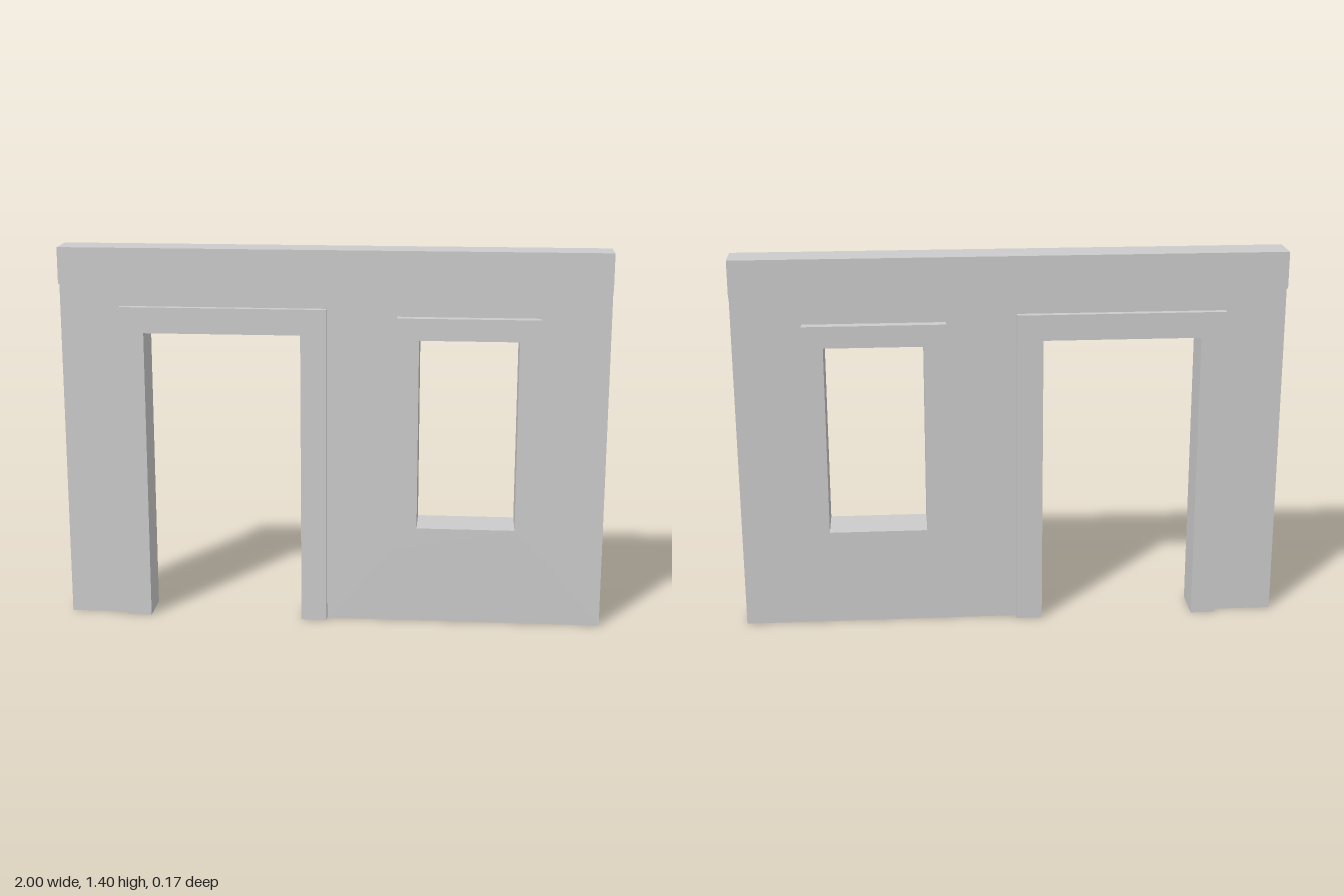
import * as THREE from 'three';

const material = new THREE.MeshStandardMaterial({ color: 0xcccccc, flatShading: true });

// Key outlines as [left, bottom, right, top]
const doorOuter = [-0.78, 0, -0.02, 1.185];
const doorInner = [-0.69, 0, -0.115, 1.09];
const windowOuter = [0.235, 0.29, 0.75, 1.16];
const windowInner = [0.315, 0.375, 0.675, 1.08];
const beamBottom = 1.265;

const polygon = (points) => new THREE.Shape(points.map(([x, y]) => new THREE.Vector2(x, y)));

const rectangle = ([l, b, r, t]) => polygon([[l, b], [r, b], [r, t], [l, t]]);

// Rectangle with a notch rising from its bottom edge
const notched = ([l, b, r, t], [nl, , nr, nt]) =>
  polygon([[l, b], [nl, b], [nl, nt], [nr, nt], [nr, b], [r, b], [r, t], [l, t]]);

// Extrude a front outline to a depth centred on z = 0
function slab(name, shape, depth) {
  const geometry = new THREE.ExtrudeGeometry(shape, { depth, bevelEnabled: false });
  geometry.translate(0, 0, -depth / 2);
  const mesh = new THREE.Mesh(geometry, material);
  mesh.name = name;
  return mesh;
}

export function createModel() {
  const group = new THREE.Group();
  group.name = 'wallWithDoorAndWindow';

  // Wall panel, cut out around both frames
  const wall = notched([-1, 0, 1, beamBottom], doorOuter);
  wall.holes.push(rectangle(windowOuter));
  group.add(slab('wall', wall, 0.093));

  // Door frame, open at the floor
  group.add(slab('doorFrame', notched(doorOuter, doorInner), 0.145));

  // Window frame, the deepest part
  const frame = rectangle(windowOuter);
  frame.holes.push(rectangle(windowInner));
  group.add(slab('windowFrame', frame, 0.167));

  // Beam along the top
  group.add(slab('topBeam', rectangle([-1, beamBottom, 1, 1.4]), 0.132));

  return group;
}
